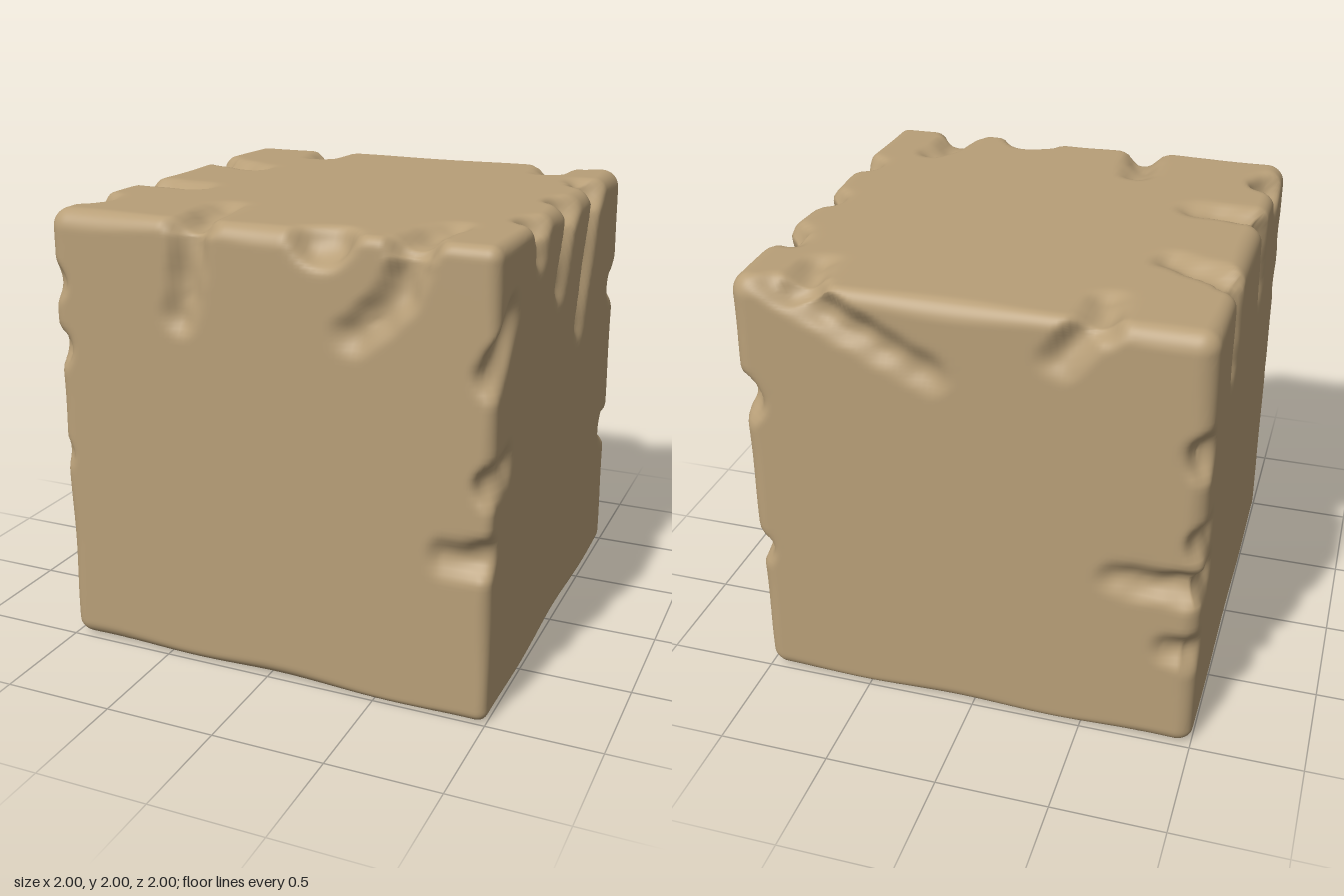
import * as THREE from 'three';
import { mergeVertices } from 'three/addons/utils/BufferGeometryUtils.js';

const vec = (x, y, z) => new THREE.Vector3(x, y, z);
const X = vec(1, 0, 0), Y = vec(0, 1, 0), Z = vec(0, 0, 1);
const BACK = vec(0, 0, -1), LEFT = vec(-1, 0, 0);

// A gouge bites an edge, and may run on as a scratch over either face beside it
function gougeCapsules(axis, faceA, faceB, bend, [along, size, runA = 0, slantA = 0, runB = 0, slantB = 0]) {
  const edge = axis.clone().multiplyScalar(along).add(faceA).add(faceB);
  const capsules = [{ r: size, a: edge, ab: vec(0, 0, 0) }];
  const scratch = (face, away, run, slant) => {
    const at = (t) => edge.clone()
      .addScaledVector(axis, slant * t ** bend)
      .addScaledVector(away, -run * t)
      .addScaledVector(face, 0.04 * t);
    for (let i = 0; i < 4 && run > 0; i++) {
      const a = at(i / 4);
      capsules.push({ r: 0.075, a, ab: at((i + 1) / 4).sub(a) });
    }
  };
  scratch(faceA, faceB, runA, slantA);
  scratch(faceB, faceA, runB, slantB);
  return capsules;
}

// Gouges per edge: place along the edge, size, then run and slant on each face
const onEdge = (axis, faceA, faceB, bend, ...gouges) =>
  gouges.flatMap((g) => gougeCapsules(axis, faceA, faceB, bend, g));

const capsules = [
  // front, right, back and left top edges
  onEdge(X, Z, Y, 2.5, [-0.31, 0.1, 0.4, -0.06, 0.36, -0.03], [0.27, 0.14], [0.65, 0.11, 0.4, -0.25, 0.32, 0.05]),
  onEdge(Z, X, Y, 1, [0.42, 0.11, 0.13], [-0.06, 0.12, 0.34, 0.16], [-0.51, 0.13, 0.6, 0.24, 0.1, -0.05]),
  onEdge(X, BACK, Y, 1, [-0.53, 0.1, 0.18, 0.14, 0.22], [0.69, 0.12, 0, 0, 0.24], [0.8, 0.06, 0.32, -0.66]),
  onEdge(Z, LEFT, Y, 1, [-0.47, 0.1, 0.37, -0.02, 0.31, 0.14], [0.24, 0.09, 0.37, 0.08, 0.31, 0.02], [0.7, 0.13]),
  // upright edges, measured from mid height
  onEdge(Y, X, Z, 1, [0.5, 0.08, 0.19, 0.2], [0.05, 0.07, 0.17, 0.03], [-0.26, 0.07, 0, 0, 0.19, -0.02]),
  onEdge(Y, X, BACK, 1, [0.44, 0.11, 0.1], [-0.33, 0.075, 0.11, 0.02]),
  onEdge(Y, LEFT, BACK, 1, [0.47, 0.1], [0.06, 0.06, 0.12], [-0.16, 0.07, 0.16, -0.01, 0.35], [-0.5, 0.09, 0, 0, 0.12, 0.02]),
  onEdge(Y, LEFT, Z, 1, [0.68, 0.07], [0.39, 0.08], [-0.1, 0.05]),
].flat();

function gougeDistance(p) {
  let best = 1;
  for (const { r, a, ab } of capsules) {
    const x = p.x - a.x, y = p.y - a.y, z = p.z - a.z;
    const t = Math.min(1, Math.max(0, (x * ab.x + y * ab.y + z * ab.z) / (ab.lengthSq() || 1)));
    best = Math.min(best, Math.hypot(x - t * ab.x, y - t * ab.y, z - t * ab.z) - r);
  }
  // slightly chipped walls
  return best + 0.006 * Math.sin(31 * p.x + 17 * p.y) * Math.sin(27 * p.z + 13 * p.y);
}

// Rounded block with unevenly worn edges, sharpest at the front right
function blockDistance(p) {
  const wear = 0.012 * Math.sin(7 * p.x + 1) + 0.012 * Math.sin(6 * p.z + 2) + 0.008 * Math.sin(9 * p.y);
  const r = Math.max(0.02, 0.062 + wear - 0.035 * Math.max(0, Math.min(p.x, p.z)));
  const q = [p.x, p.y, p.z].map((v) => Math.abs(v) - 1 + r);
  const outside = Math.hypot(...q.map((v) => Math.max(v, 0)));
  return outside + Math.min(Math.max(...q), 0) - r;
}

// Block minus gouges, with a softened lip
function surfaceDistance(p) {
  const a = blockDistance(p), b = -gougeDistance(p), k = 0.045;
  const h = Math.max(k - Math.abs(a - b), 0) / k;
  return Math.max(a, b) + h * h * k * 0.25;
}

function wornBlockGeometry(segments) {
  let geo = new THREE.BoxGeometry(2, 2, 2, segments, segments, segments);
  geo.deleteAttribute('uv');
  geo.deleteAttribute('normal');
  geo = mergeVertices(geo, 1e-4);
  const pos = geo.attributes.position;
  const p = vec(0, 0, 0), core = vec(0, 0, 0), dir = vec(0, 0, 0);
  const crowd = (v) => 0.5 * v + 0.5 * Math.sin(v * Math.PI / 2); // finer grid by the edges
  for (let i = 0; i < pos.count; i++) {
    p.fromBufferAttribute(pos, i);
    p.set(crowd(p.x), crowd(p.y), crowd(p.z));
    core.copy(p).clampScalar(-0.6, 0.6);
    dir.subVectors(core, p);
    const reach = dir.length();
    dir.divideScalar(reach);
    // walk inward until the carved surface is met
    for (let step = 0, gone = 0; step < 50; step++) {
      const d = surfaceDistance(p);
      if (d < 0.0004 || gone + d > reach) break;
      p.addScaledVector(dir, d);
      gone += d;
    }
    pos.setXYZ(i, p.x, p.y, p.z);
  }
  geo.computeVertexNormals();
  return geo;
}

export function createModel() {
  const group = new THREE.Group();
  group.name = 'wornBlock';
  const sandstone = new THREE.MeshStandardMaterial({ color: 0xb89f78 });
  sandstone.name = 'sandstone';
  const block = new THREE.Mesh(wornBlockGeometry(100), sandstone);
  block.name = 'gougedStoneBlock';
  block.position.y = 1;
  group.add(block);
  return group;
}
